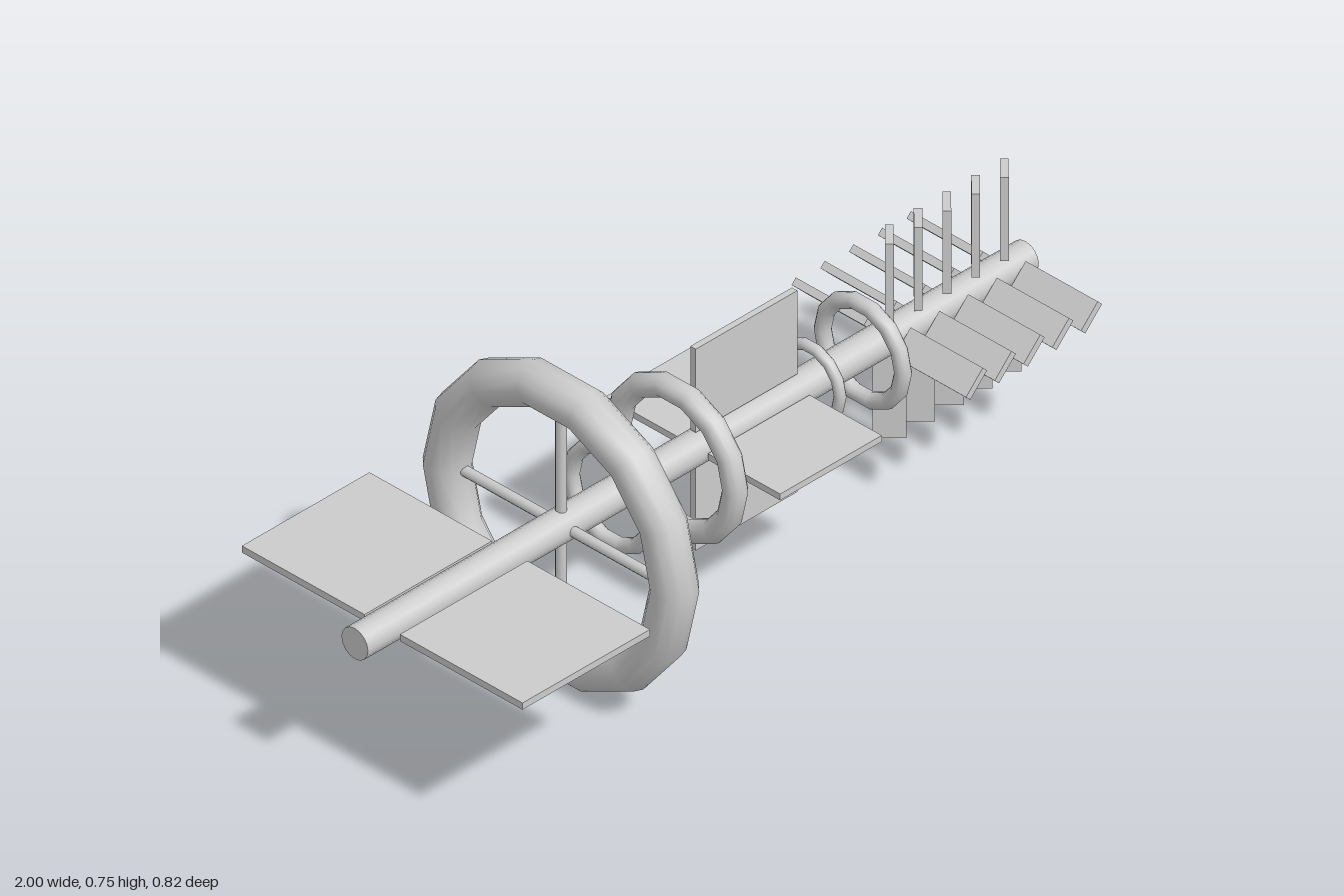
import * as THREE from 'three';

const material = new THREE.MeshStandardMaterial({ color: 0xcccccc });
const AXIS_Y = 0.38;

export function createModel() {
  const model = new THREE.Group();

  function add(name, geometry, parent = model) {
    const mesh = new THREE.Mesh(geometry, material);
    mesh.name = name;
    parent.add(mesh);
    return mesh;
  }

  // Group turned about the long axis; its own +y points away from the shaft
  function arm(name, x, angle) {
    const group = new THREE.Group();
    group.name = name;
    group.position.set(x, AXIS_Y, 0);
    group.rotation.x = angle;
    model.add(group);
    return group;
  }

  // Central shaft along x
  const shaft = add('shaft', new THREE.CylinderGeometry(0.039, 0.039, 2, 16));
  shaft.rotation.z = Math.PI / 2;
  shaft.position.y = AXIS_Y;

  // Fourteen-sided rings around the shaft: [name, x, ring radius, tube radius]
  const rings = [
    ['habitatRing', -0.385, 0.334, 0.053],
    ['smallRingRear', -0.234, 0.118, 0.018],
    ['mediumRing', -0.04, 0.172, 0.028],
    ['smallRingMiddle', 0.36, 0.086, 0.0135],
    ['smallRingFront', 0.515, 0.118, 0.019],
  ];
  for (const [name, x, radius, tube] of rings) {
    const ring = add(name, new THREE.TorusGeometry(radius, tube, 12, 14));
    ring.rotation.y = Math.PI / 2;
    ring.position.set(x, AXIS_Y, 0);
  }

  // Large flat panels, one on each side
  for (const side of [-1, 1]) {
    const panel = arm('largePanel', -0.728, side * Math.PI / 2);
    add('panelPlate', new THREE.BoxGeometry(0.38, 0.36, 0.017), panel).position.y = 0.232;
  }

  for (let k = 0; k < 4; k++) {
    const angle = k * Math.PI / 2;

    // Ring spokes
    const spoke = arm('ringSpoke', -0.385, angle);
    add('spokeRod', new THREE.CylinderGeometry(0.0125, 0.0125, 0.3, 10), spoke).position.y = 0.15;

    // Crossed middle panels
    const panel = arm('middlePanel', 0.16, angle);
    add('panelPlate', new THREE.BoxGeometry(0.303, 0.212, 0.016), panel).position.y = 0.15;

    // Five rows of pitched blades
    for (let i = 0; i < 5; i++) {
      const holder = arm('bladeArm', 0.594 + i * 0.0857, angle);
      const blade = add('blade', new THREE.BoxGeometry(0.071, 0.212, 0.018), holder);
      blade.position.y = 0.15;
      blade.rotation.y = Math.PI / 4;
    }
  }

  return model;
}
